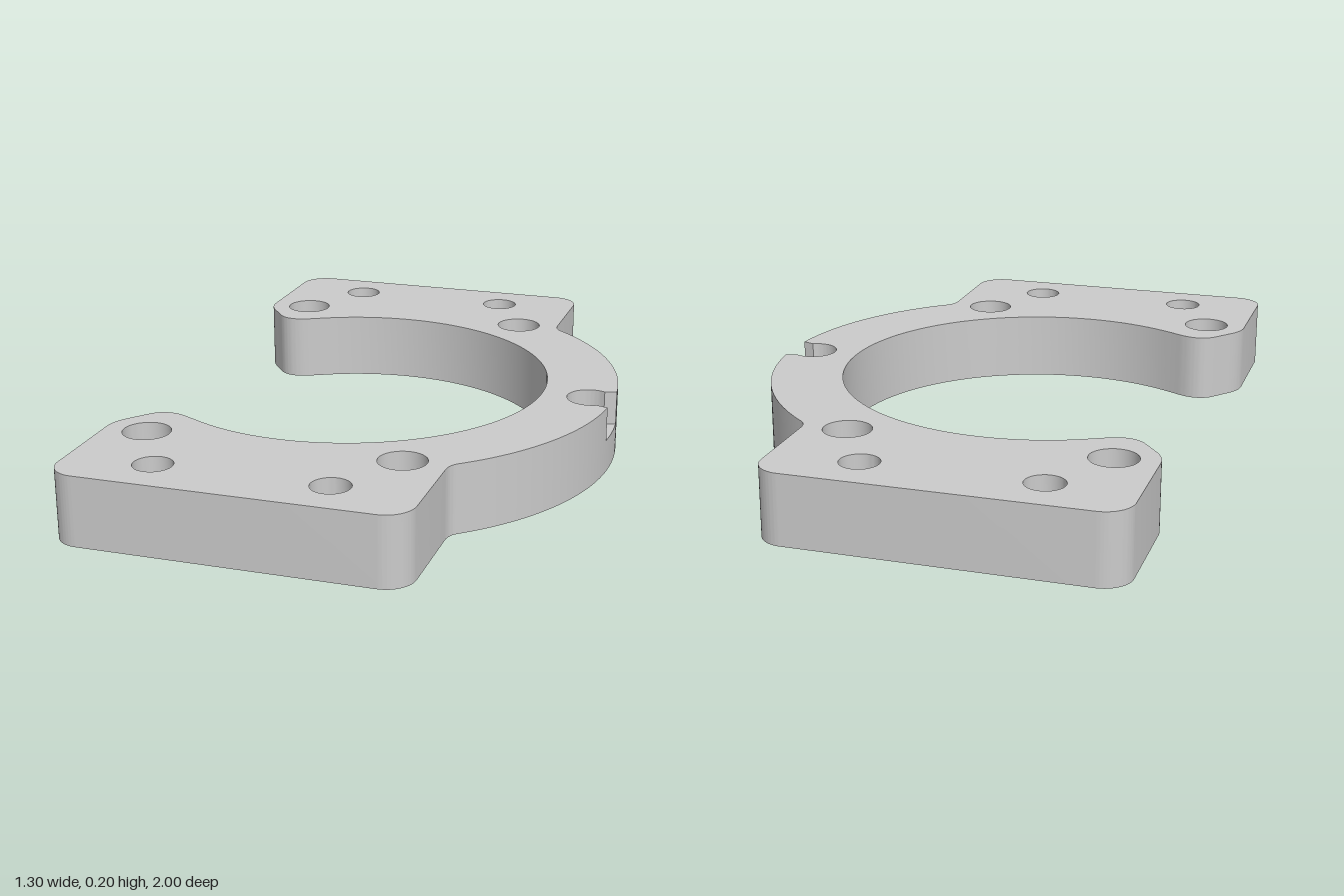
import * as THREE from 'three';
import { toCreasedNormals } from 'three/addons/utils/BufferGeometryUtils.js';

const H = 0.2, MID = 0.1;            // plate height, counterbore depth level
const CX = -0.152, R_OUT = 0.8, R_IN = 0.59;
const A0 = 0.09;                     // outer arc angle where the edge notch starts

// Horizontal face of a flat outline with holes; points are (x, z)
function cap(out, outline, holes, y, up) {
  const all = [outline, ...holes].flat();
  for (const [a, b, c] of THREE.ShapeUtils.triangulateShape(outline, holes)) {
    const p = all[a], q = all[b], r = all[c];
    const ccw = (q.x - p.x) * (r.y - p.y) - (q.y - p.y) * (r.x - p.x) > 0;
    for (const v of ccw === up ? [p, r, q] : [p, q, r]) out.push(v.x, y, v.y);
  }
}

// Vertical wall along a closed loop, facing away from its left-hand side
function wall(out, loop, y0, y1) {
  loop.forEach((a, i) => {
    const b = loop[(i + 1) % loop.length];
    out.push(a.x, y0, a.y, a.x, y1, a.y, b.x, y1, b.y);
    out.push(a.x, y0, a.y, b.x, y1, b.y, b.x, y0, b.y);
  });
}

// Clockwise circle, used as a hole
function hole(x, z, r, n = 40) {
  return Array.from({ length: n }, (_, i) => {
    const a = -i / n * Math.PI * 2;
    return new THREE.Vector2(x + r * Math.cos(a), z + r * Math.sin(a));
  });
}

// Close a half outline (z >= 0) by mirroring it across z = 0
function mirrored(half) {
  const other = half.filter(p => Math.abs(p.y) > 1e-6).map(p => new THREE.Vector2(p.x, -p.y));
  return [...half, ...other.reverse()];
}

export function createModel() {
  // Half outline: outer arc, fillet, mounting pad, rounded tip, inner arc
  const body = new THREE.Path();
  body.absarc(CX, 0, R_OUT, A0, 0.884, false);
  body.quadraticCurveTo(0.335, 0.635, 0.335, 0.67);
  body.lineTo(0.335, 0.92);
  body.absarc(0.255, 0.92, 0.08, 0, Math.PI / 2, false);
  body.lineTo(-0.57, 1);
  body.absarc(-0.57, 0.92, 0.08, Math.PI / 2, Math.PI, false);
  body.lineTo(-0.65, 0.64);
  body.quadraticCurveTo(-0.65, 0.595, -0.615, 0.555);
  body.lineTo(-0.585, 0.517);
  body.bezierCurveTo(-0.555, 0.475, -0.51, 0.475, -0.46, 0.505);
  body.absarc(CX, 0, R_IN, 2.071, 0, true);
  const bodyHalf = body.getPoints(20);

  // Outer edge below the notch
  const edge = [0, 1, 2, 3].map(i => new THREE.Vector2(
    CX + R_OUT * Math.cos(A0 * i / 4), R_OUT * Math.sin(A0 * i / 4)));
  // Notch: counterbore arc flaring out to the outer edge
  const notch = new THREE.Path();
  notch.absarc(0.58, 0, 0.068, Math.PI, Math.PI * 0.35, true);
  const notchHalf = notch.getPoints(12);

  const lower = mirrored([...edge, ...bodyHalf]);
  const upper = mirrored([...notchHalf, ...bodyHalf]);
  const notchFloor = mirrored([...notchHalf, bodyHalf[0], ...[...edge].reverse()]);

  const out = [], topHoles = [], bottomHoles = [];
  // Screw hole with a wide part on one side and a ledge at mid height
  function steppedHole(x, z, r, wide, wideOnTop) {
    const small = hole(x, z, r), big = hole(x, z, wide);
    const [top, bottom] = wideOnTop ? [big, small] : [small, big];
    topHoles.push(top);
    bottomHoles.push(bottom);
    wall(out, bottom, 0, MID);
    wall(out, top, MID, H);
    cap(out, big, [small], MID, wideOnTop);
  }
  for (const s of [-1, 1]) {
    for (const x of [-0.527, 0.21]) steppedHole(x, s * 0.64, 0.039, 0.068, true);
    for (const x of [-0.405, 0.088]) steppedHole(x, s * 0.86, 0.055, 0.087, false);
  }

  // Edge screw hole opening into the notch
  const edgeHole = hole(0.58, 0, 0.039);
  bottomHoles.push(edgeHole);
  wall(out, edgeHole, 0, MID);
  cap(out, notchFloor, [edgeHole], MID, true);

  // Main walls and faces
  wall(out, lower, 0, MID);
  wall(out, upper, MID, H);
  cap(out, upper, topHoles, H, true);
  cap(out, lower, bottomHoles, 0, false);

  const geometry = new THREE.BufferGeometry();
  geometry.setAttribute('position', new THREE.Float32BufferAttribute(out, 3));
  const mesh = new THREE.Mesh(toCreasedNormals(geometry, 0.6),
    new THREE.MeshStandardMaterial({ color: 0xcccccc }));
  mesh.name = 'mountingBracket';

  const group = new THREE.Group();
  group.name = 'openRingBracket';
  group.add(mesh);
  return group;
}
